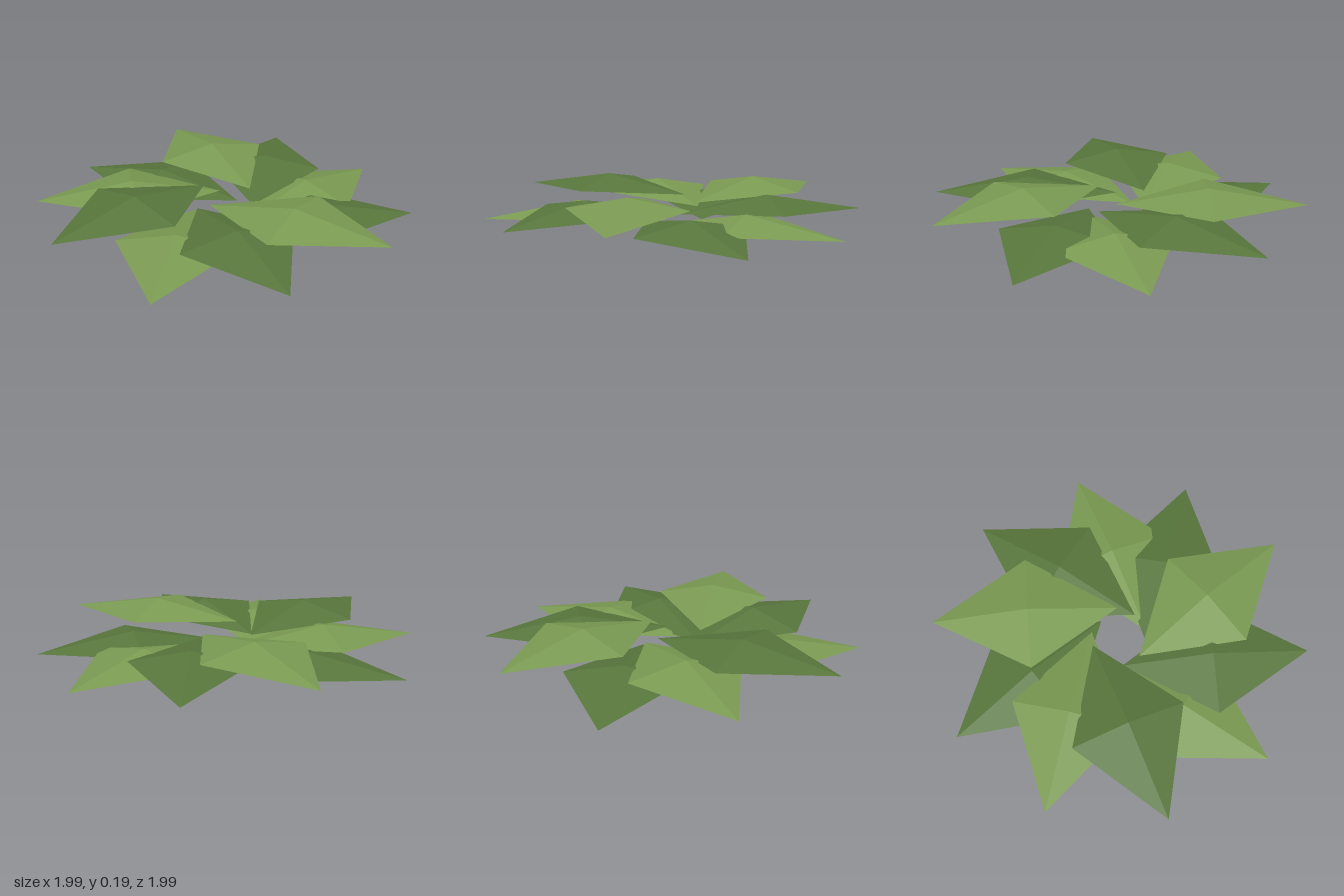
import * as THREE from 'three';

const LEAVES = 10;
const LAYERS = 3;
const LAYER_STEP = 0.052;
const RING_RADIUS = 0.505;

// Diamond sheet folded into four facets, pointing along +x
function leafGeometry() {
  const peak = [0, 0.088, 0];
  const rim = [
    [0.515, 0, 0],       // outer tip
    [0, 0.03, -0.31],    // side corner
    [-0.48, 0, 0],       // inner tip
    [0, 0.03, 0.31],     // side corner
  ];
  const points = rim.flatMap((p, i) => [...peak, ...p, ...rim[(i + 1) % 4]]);
  const geometry = new THREE.BufferGeometry();
  geometry.setAttribute('position', new THREE.Float32BufferAttribute(points, 3));
  geometry.computeVertexNormals();
  return geometry;
}

function greenMaterial(name, color) {
  const material = new THREE.MeshStandardMaterial({ color, flatShading: true, side: THREE.DoubleSide });
  material.name = name;
  return material;
}

export function createModel() {
  const model = new THREE.Group();
  model.name = 'leafRosette';
  const greens = [greenMaterial('lightGreen', 0x7a9a52), greenMaterial('darkGreen', 0x58763c)];
  const geometry = leafGeometry();

  // Leaves around the ring, alternating in colour and stacked in three layers
  for (let i = 0; i < LEAVES; i++) {
    const angle = THREE.MathUtils.degToRad(72 + (i * 360) / LEAVES);
    const leaf = new THREE.Mesh(geometry, greens[i % 2]);
    leaf.name = `leaf${i + 1}`;
    leaf.position.set(
      RING_RADIUS * Math.cos(angle),
      (i % LAYERS) * LAYER_STEP,
      -RING_RADIUS * Math.sin(angle),
    );
    leaf.rotation.y = angle + Math.PI / 10; // swirled by half a leaf step
    model.add(leaf);
  }
  return model;
}
